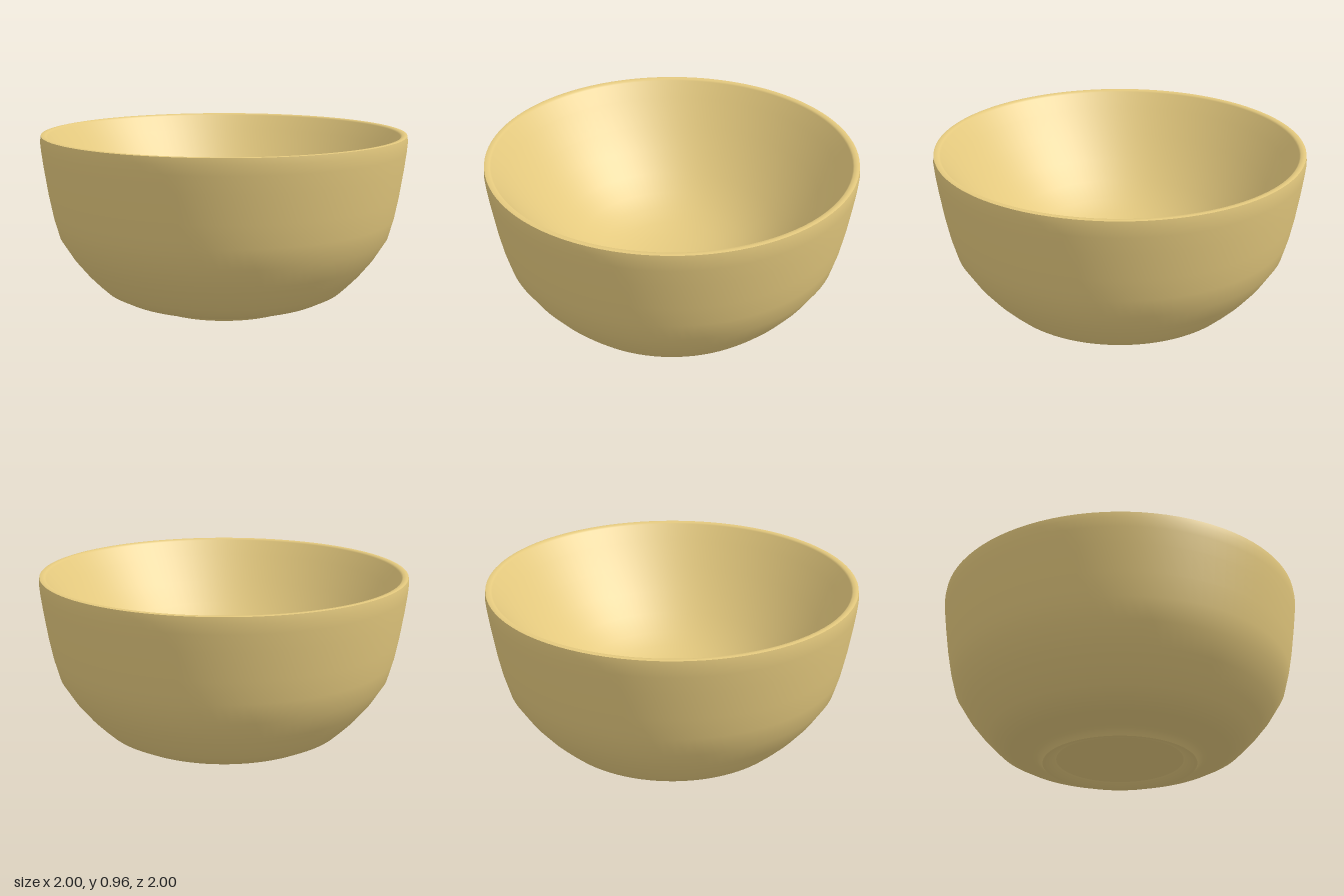
import * as THREE from 'three';

const material = new THREE.MeshStandardMaterial({ color: 0xe4c97e, side: THREE.DoubleSide });

// Revolves one smooth section; separate sections keep the edges between them sharp
function turned(name, profile) {
  const points = profile.map(([r, y]) => new THREE.Vector2(r, y));
  const mesh = new THREE.Mesh(new THREE.LatheGeometry(points, 96), material);
  mesh.name = name;
  return mesh;
}

export function createModel() {
  const bowl = new THREE.Group();
  bowl.name = 'bowl';

  // Underside: recessed disc and the soft standing ring around it
  bowl.add(turned('footRecess', [[0, 0.025], [0.345, 0.025]]));
  bowl.add(turned('footRing', [[0.345, 0.025], [0.365, 0.012], [0.392, 0.002], [0.405, 0], [0.418, 0]]));

  // Outside: flared foot running into the rounded wall
  bowl.add(turned('outerWall', [
    [0.418, 0], [0.432, 0.016], [0.455, 0.031], [0.51, 0.046], [0.605, 0.068],
    [0.675, 0.105], [0.72, 0.148], [0.77, 0.2], [0.84, 0.287], [0.91, 0.4],
    [0.94, 0.51], [0.963, 0.63], [0.985, 0.78], [0.996, 0.87], [1, 0.92], [0.996, 0.955],
  ]));

  // Inside: flat lip, sloping wall and dished floor
  bowl.add(turned('innerWall', [
    [0.996, 0.955], [0.985, 0.957], [0.968, 0.955], [0.96, 0.947], [0.9, 0.862],
    [0.8, 0.724], [0.7, 0.607], [0.6, 0.505], [0.5, 0.425], [0.4, 0.367],
    [0.3, 0.328], [0.2, 0.303], [0.1, 0.29], [0, 0.287],
  ]));

  return bowl;
}
